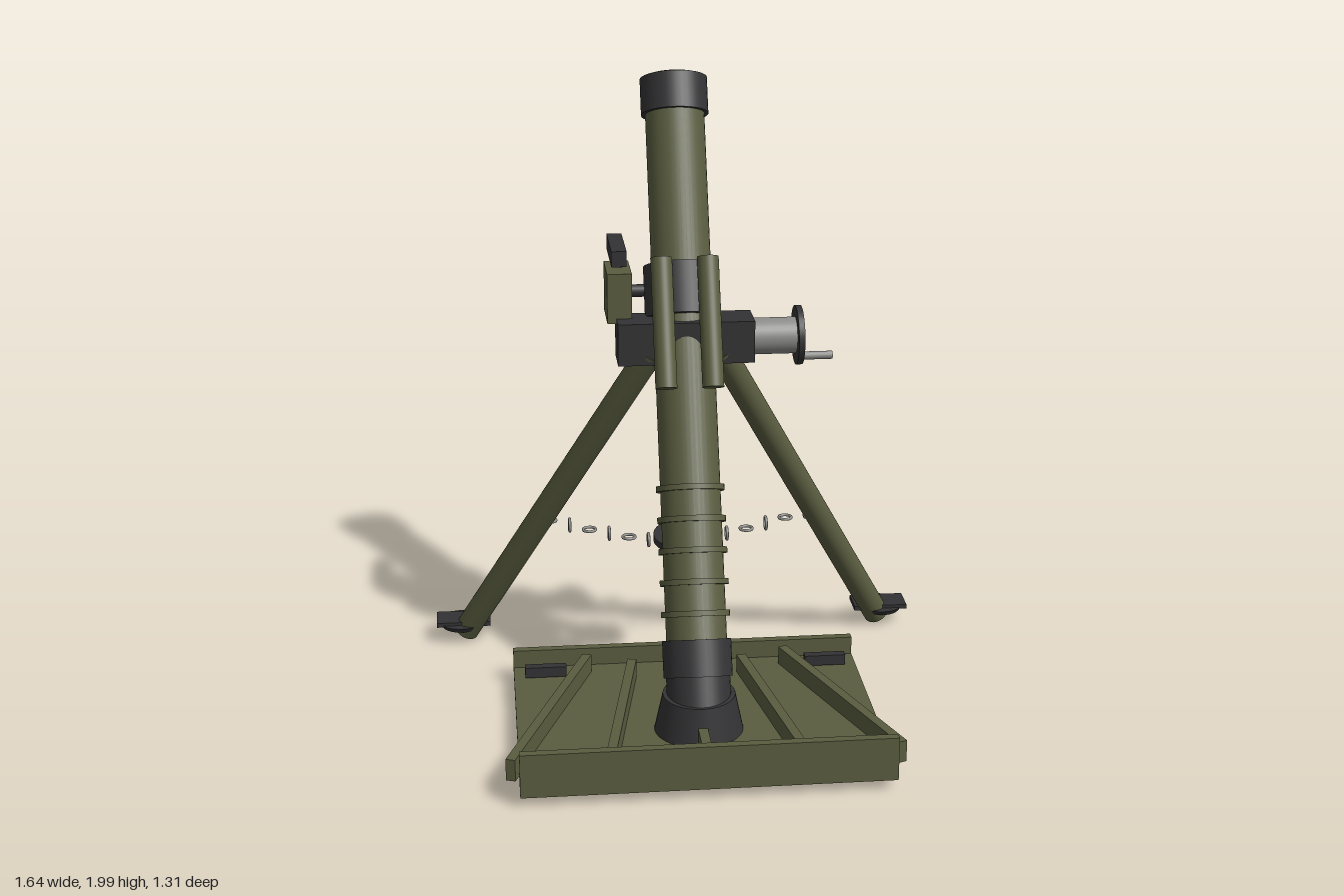
import * as THREE from 'three';

export function createModel() {
  const model = new THREE.Group();
  const mat = (name, color) => {
    const m = new THREE.MeshStandardMaterial({ color });
    m.name = name;
    return m;
  };
  const olive = mat('olive paint', 0x5a5d40);
  const black = mat('dark metal', 0x333335);
  const steel = mat('bare steel', 0x8c8c8a);
  const V = (x, y, z) => new THREE.Vector3(x, y, z);

  const add = (name, geo, material, pos, parent = model) => {
    const m = new THREE.Mesh(geo, material);
    m.name = name;
    m.position.copy(pos);
    parent.add(m);
    return m;
  };
  const box = (name, w, h, d, material, x, y, z) =>
    add(name, new THREE.BoxGeometry(w, h, d), material, V(x, y, z));
  // Cylinder running from point a to point b
  const rod = (name, a, b, ra, rb, material, sides = 32) => {
    const m = add(name, new THREE.CylinderGeometry(rb, ra, a.distanceTo(b), sides), material,
      a.clone().lerp(b, 0.5));
    m.quaternion.setFromUnitVectors(V(0, 1, 0), b.clone().sub(a).normalize());
    return m;
  };

  // Barrel group: local y runs along the bore
  const barrel = new THREE.Group();
  barrel.name = 'barrel';
  barrel.position.set(0, 0.16, 0.305);
  barrel.rotation.x = -0.43;
  model.add(barrel);
  const section = (name, s0, s1, r0, r1, material, x = 0, z = 0) =>
    add(name, new THREE.CylinderGeometry(r1, r0, s1 - s0, 40), material, V(x, (s0 + s1) / 2, z), barrel);
  section('tube', 0.1, 1.9, 0.095, 0.095, olive);
  section('breech', -0.06, 0.08, 0.1, 0.1, black);
  section('breechBand', 0.07, 0.185, 0.108, 0.108, black);
  section('muzzleCap', 1.855, 1.972, 0.108, 0.108, black);
  section('muzzleDisc', 1.97, 1.978, 0.09, 0.09, black);
  for (let i = 0; i < 5; i++) {
    const s = 0.265 + i * 0.098;
    section('coolingRing', s - 0.009, s + 0.009, 0.108, 0.108, olive);
  }
  section('clampCollar', 1.2, 1.365, 0.121, 0.121, black);
  for (const side of [-1, 1]) section('recoilCylinder', 0.96, 1.37, 0.034, 0.034, olive, side * 0.073, 0.127);

  // Ball and socket under the breech
  rod('socket', V(0, 0.055, 0.3), V(0, 0.183, 0.303), 0.14, 0.113, black, 40);
  add('ball', new THREE.SphereGeometry(0.06, 32, 20), black, V(0, 0.063, 0.34));

  // Base plate with lips, radiating ribs and grips
  box('basePlate', 1.132, 0.025, 0.86, olive, 0, 0.048, 0.216);
  box('frontLip', 1.132, 0.14, 0.028, olive, 0, 0.105, 0.637);
  box('backLip', 1.132, 0.085, 0.028, olive, 0, 0.0775, -0.202);
  const rib = (x0, z0, x1, z1) => {
    const m = box('rib', 0.03, 0.07, Math.hypot(x1 - x0, z1 - z0), olive, (x0 + x1) / 2, 0.086, (z0 + z1) / 2);
    m.rotation.y = Math.atan2(x1 - x0, z1 - z0);
  };
  rib(0, -0.1, 0, 0.587);
  for (const side of [-1, 1]) {
    rib(side * 0.325, -0.14, side * 0.592, 0.57);
    rib(side * 0.18, -0.09, side * 0.295, 0.585);
    for (const z of [-0.11, 0.54]) box('plateGrip', 0.135, 0.035, 0.03, black, side * 0.462, 0.083, z);
  }

  // Bipod legs and feet
  for (const side of [-1, 1]) {
    rod('leg', V(side * 0.11, 1.165, -0.115), V(side * 0.722, 0.033, -0.57), 0.043, 0.043, olive);
    add('footDisc', new THREE.CylinderGeometry(0.082, 0.07, 0.018, 32), black, V(side * 0.735, 0.058, -0.58));
    box('footBar', 0.185, 0.016, 0.1, black, side * 0.73, 0.07, -0.58);
  }

  // Elevating column
  const top = V(0, 1.15, -0.155), foot = V(0, 0.48, -0.257);
  rod('elevatingColumn', foot, top, 0.046, 0.046, black);
  rod('columnFlange', V(0, 0.467, -0.259), V(0, 0.49, -0.2555), 0.093, 0.093, black);

  // Traversing gear with handwheel and crank
  box('traverseHousing', 0.43, 0.135, 0.13, black, 0, 1.198, -0.143);
  rod('traverseShaft', V(0.2, 1.198, -0.143), V(0.373, 1.198, -0.143), 0.058, 0.058, steel);
  rod('handwheel', V(0.351, 1.198, -0.143), V(0.37, 1.198, -0.143), 0.094, 0.094, black);
  rod('crankHandle', V(0.365, 1.127, -0.148), V(0.472, 1.127, -0.148), 0.013, 0.013, steel, 16);

  // Sight
  box('sightBody', 0.078, 0.16, 0.165, olive, -0.204, 1.33, -0.228);
  box('sightPost', 0.03, 0.04, 0.04, black, -0.204, 1.42, -0.25);
  box('sightScope', 0.048, 0.05, 0.235, black, -0.204, 1.455, -0.273);
  rod('eyepiece', V(-0.204, 1.455, -0.38), V(-0.204, 1.455, -0.415), 0.018, 0.018, olive, 20);
  rod('sightBracket', V(-0.17, 1.33, -0.24), V(-0.08, 1.33, -0.24), 0.02, 0.02, black, 20);

  // Chain hanging between the legs, links alternating in direction
  const linkGeo = new THREE.TorusGeometry(0.021, 0.005, 8, 20);
  for (let i = 0; i < 14; i++) {
    const x = -0.43 + i * 0.0661;
    const y = 0.41 + 0.095 * Math.pow(Math.abs(x) / 0.43, 1.4);
    const link = add('chainLink', linkGeo, steel, V(x, y, -0.38));
    if (i % 2) link.rotation.y = Math.PI / 2;
    else link.rotation.x = Math.PI / 2;
  }

  return model;
}
